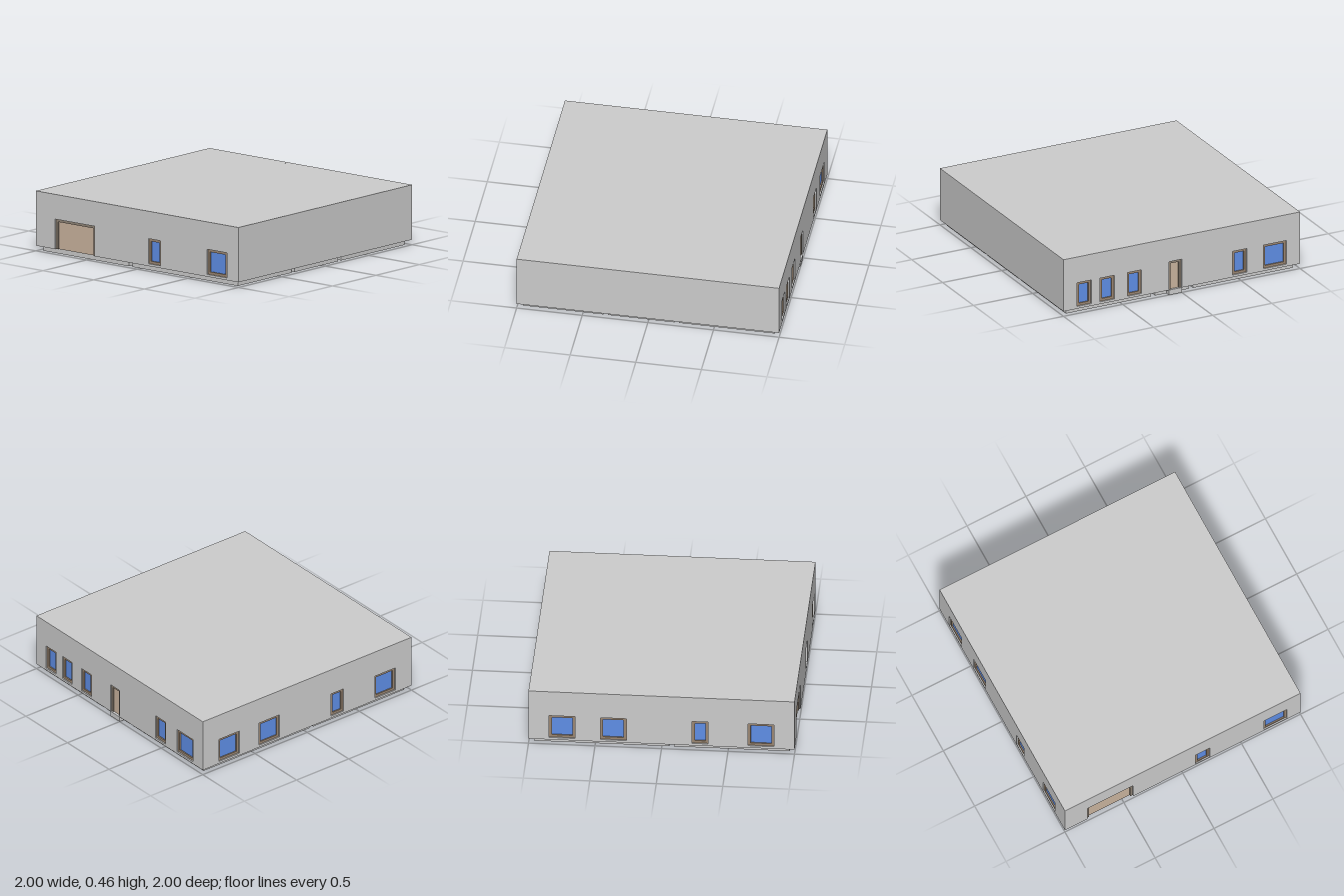
import * as THREE from 'three';

const material = (color) => new THREE.MeshStandardMaterial({ color });
const GREY = material(0xcccccc);
const GLASS = material(0x5f8ee6);
const FRAME = material(0x9a8672);
const DOOR = material(0xcab49e);
const DOOR_FRAME = material(0x8f8375);

const BASE = 0.04, TOP = 0.46, WALL = 0.04;

function box(parent, name, mat, x0, x1, y0, y1, z0, z1) {
  const mesh = new THREE.Mesh(new THREE.BoxGeometry(x1 - x0, y1 - y0, z1 - z0), mat);
  mesh.position.set((x0 + x1) / 2, (y0 + y1) / 2, (z0 + z1) / 2);
  mesh.name = name;
  parent.add(mesh);
}

// Splits a rectangle [u0, u1, v0, v1] into the rectangles left over around its holes
function cutRectangle([u0, u1, v0, v1], holes) {
  const sorted = (list) => [...new Set(list)].sort((a, b) => a - b);
  const us = sorted([u0, u1, ...holes.flatMap((h) => [h[0], h[1]])]);
  const vs = sorted([v0, v1, ...holes.flatMap((h) => [h[2], h[3]])]);
  const out = [];
  for (let j = 0; j < vs.length - 1; j++) {
    const v = (vs[j] + vs[j + 1]) / 2;
    let start = null;
    for (let i = 0; i < us.length; i++) {
      const u = (us[i] + us[i + 1]) / 2;
      const solid = i < us.length - 1 &&
        !holes.some((h) => u > h[0] && u < h[1] && v > h[2] && v < h[3]);
      if (solid && start === null) start = us[i];
      if (!solid && start !== null) {
        out.push([start, us[i], vs[j], vs[j + 1]]);
        start = null;
      }
    }
  }
  return out;
}

// Recessed frame and panel filling one opening; doors have no sill
function addOpening(wall, { rect: [x0, x1, y0, y1], door }) {
  const t = 0.02, front = 0.99, back = 0.96;
  const sill = door ? 0 : t;
  const group = new THREE.Group();
  group.name = door ? 'door' : 'window';
  const hole = [x0 + t, x1 - t, y0 + sill, y1 - t];
  for (const [a, b, c, d] of cutRectangle([x0, x1, y0, y1], [hole])) {
    box(group, 'frame', door ? DOOR_FRAME : FRAME, a, b, c, d, back, front);
  }
  box(group, door ? 'doorPanel' : 'glass', door ? DOOR : GLASS, ...hole, back, front - 0.01);
  wall.add(group);
}

const win = (x0, x1) => ({ rect: [x0, x1, 0.058, 0.25], door: false });
const door = (x0, x1) => ({ rect: [x0, x1, BASE, 0.27], door: true });

// Openings run left to right as seen from outside
const WALLS = [
  { name: 'frontWall', turn: 0, half: 1,
    openings: [door(-0.81, -0.42), win(0.11, 0.23), win(0.69, 0.885)] },
  { name: 'backWall', turn: Math.PI, half: 1,
    openings: [win(-0.885, -0.765), win(-0.69, -0.57), win(-0.46, -0.34),
      door(-0.11, 0), win(0.43, 0.55), win(0.69, 0.885)] },
  { name: 'leftWall', turn: Math.PI / 2, half: 0.96, openings: [] },
  { name: 'rightWall', turn: -Math.PI / 2, half: 0.96,
    openings: [win(-0.845, -0.65), win(-0.46, -0.265), win(0.23, 0.35), win(0.65, 0.845)] },
];

// Grooves under the room partitions: x0, x1, z0, z1
const GROOVES = [
  [0.205, 0.24, -0.96, -0.46],
  [-0.115, -0.08, -0.96, -0.64],
  [-0.115, -0.08, -0.44, -0.08],
  [-0.115, -0.08, 0.02, 0.09],
  [-0.96, -0.08, 0.055, 0.09],
  [-0.115, -0.08, 0.27, 0.96],
  [-0.115, -0.05, 0.31, 0.345],
  [0.205, 0.96, -0.23, -0.195],
  [0.465, 0.5, -0.23, 0.04],
  [0.205, 0.5, 0.005, 0.04],
  [0.205, 0.24, -0.32, -0.14],
  [0.205, 0.24, 0.005, 0.06],
  [0.205, 0.24, 0.2, 0.345],
  [0.07, 0.96, 0.31, 0.345],
];

export function createModel() {
  const model = new THREE.Group();
  model.name = 'house';

  // Solid core that closes the roof and the underside
  box(model, 'core', GREY, -0.96, 0.96, BASE, TOP, -0.96, 0.96);

  // Outer walls with doors and windows
  for (const { name, turn, half, openings } of WALLS) {
    const wall = new THREE.Group();
    wall.name = name;
    wall.rotation.y = turn;
    for (const r of cutRectangle([-half, half, BASE, TOP], openings.map((o) => o.rect))) {
      box(wall, 'wallPanel', GREY, ...r, 1 - WALL, 1);
    }
    openings.forEach((o) => addOpening(wall, o));
    model.add(wall);
  }

  // Floor slabs, separated by the partition grooves
  const floor = new THREE.Group();
  floor.name = 'floor';
  for (const [x0, x1, z0, z1] of cutRectangle([-0.96, 0.96, -0.96, 0.96], GROOVES)) {
    box(floor, 'floorSlab', GREY, x0, x1, 0, BASE, z0, z1);
  }
  box(floor, 'backThreshold', GREY, 0, 0.11, 0, BASE, -1, -0.96);
  model.add(floor);

  return model;
}
